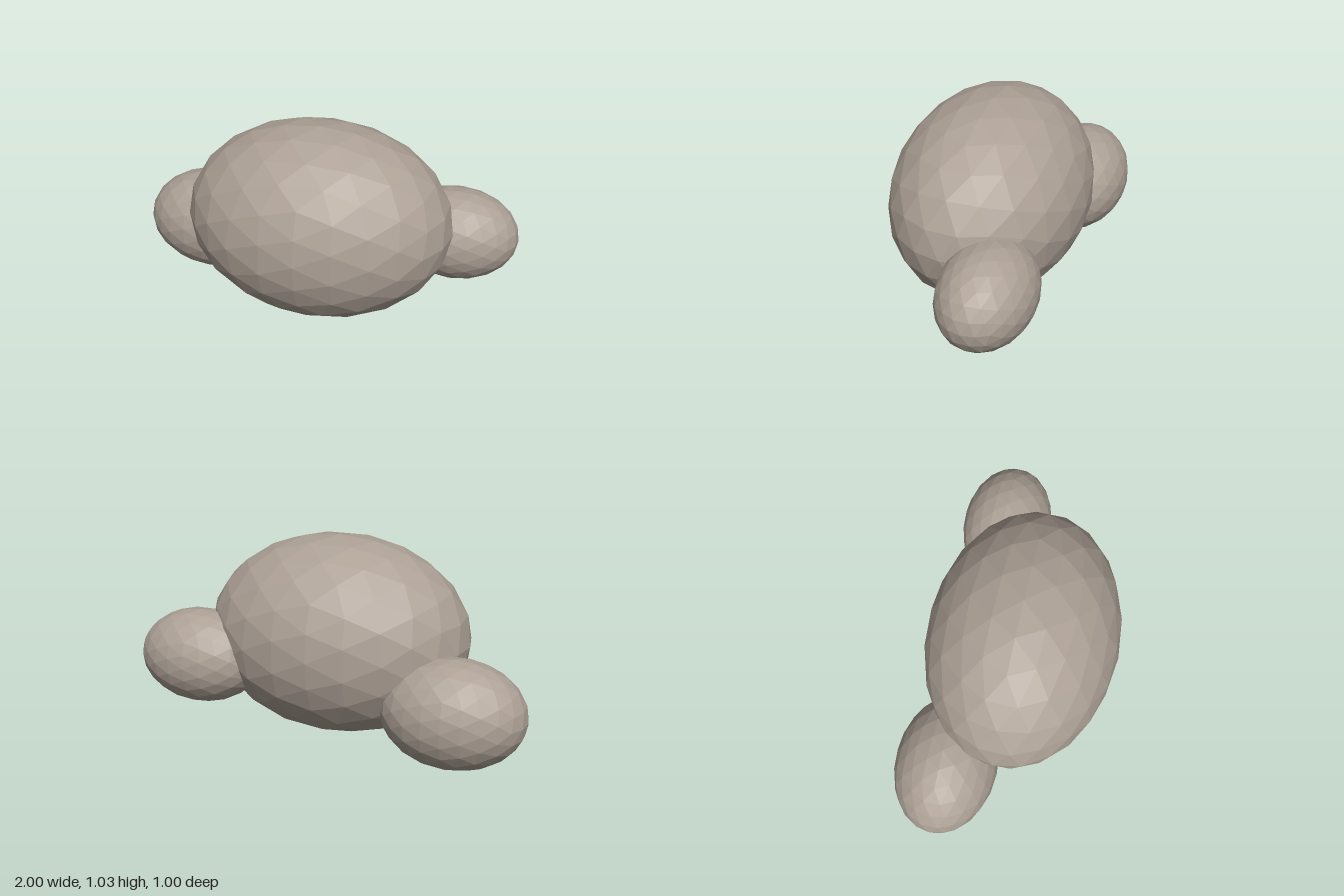
import * as THREE from 'three';

// Icosphere: an icosahedron whose triangles are halved and pushed back to the unit sphere, twice
function icosphere() {
  const source = new THREE.IcosahedronGeometry(1, 1).getAttribute('position');
  const at = (i) => new THREE.Vector3().fromBufferAttribute(source, i).normalize();
  const middle = (p, q) => p.clone().add(q).normalize();
  const points = [];
  for (let i = 0; i < source.count; i += 3) {
    const a = at(i), b = at(i + 1), c = at(i + 2);
    const ab = middle(a, b), bc = middle(b, c), ca = middle(c, a);
    points.push(a, ab, ca, ab, b, bc, ca, bc, c, ab, bc, ca);
  }
  const geometry = new THREE.BufferGeometry().setFromPoints(points);
  geometry.computeVertexNormals();
  return geometry;
}

export function createModel() {
  const model = new THREE.Group();
  model.name = 'cloud';
  const stone = new THREE.MeshStandardMaterial({ color: 0xada196, flatShading: true });
  stone.name = 'warm grey';
  const geometry = icosphere();

  // Three overlapping puffs: name, centre, radii
  const puffs = [
    ['mainPuff', [0.02, 0.525, 0.01], [0.675, 0.507, 0.488]],
    ['leftPuff', [0.677, 0.405, -0.227], [0.323, 0.241, 0.233]],
    ['rightPuff', [-0.64, 0.275, -0.24], [0.36, 0.273, 0.26]],
  ];
  for (const [name, centre, radii] of puffs) {
    const puff = new THREE.Mesh(geometry, stone);
    puff.name = name;
    puff.position.set(...centre);
    puff.scale.set(...radii);
    model.add(puff);
  }
  return model;
}
